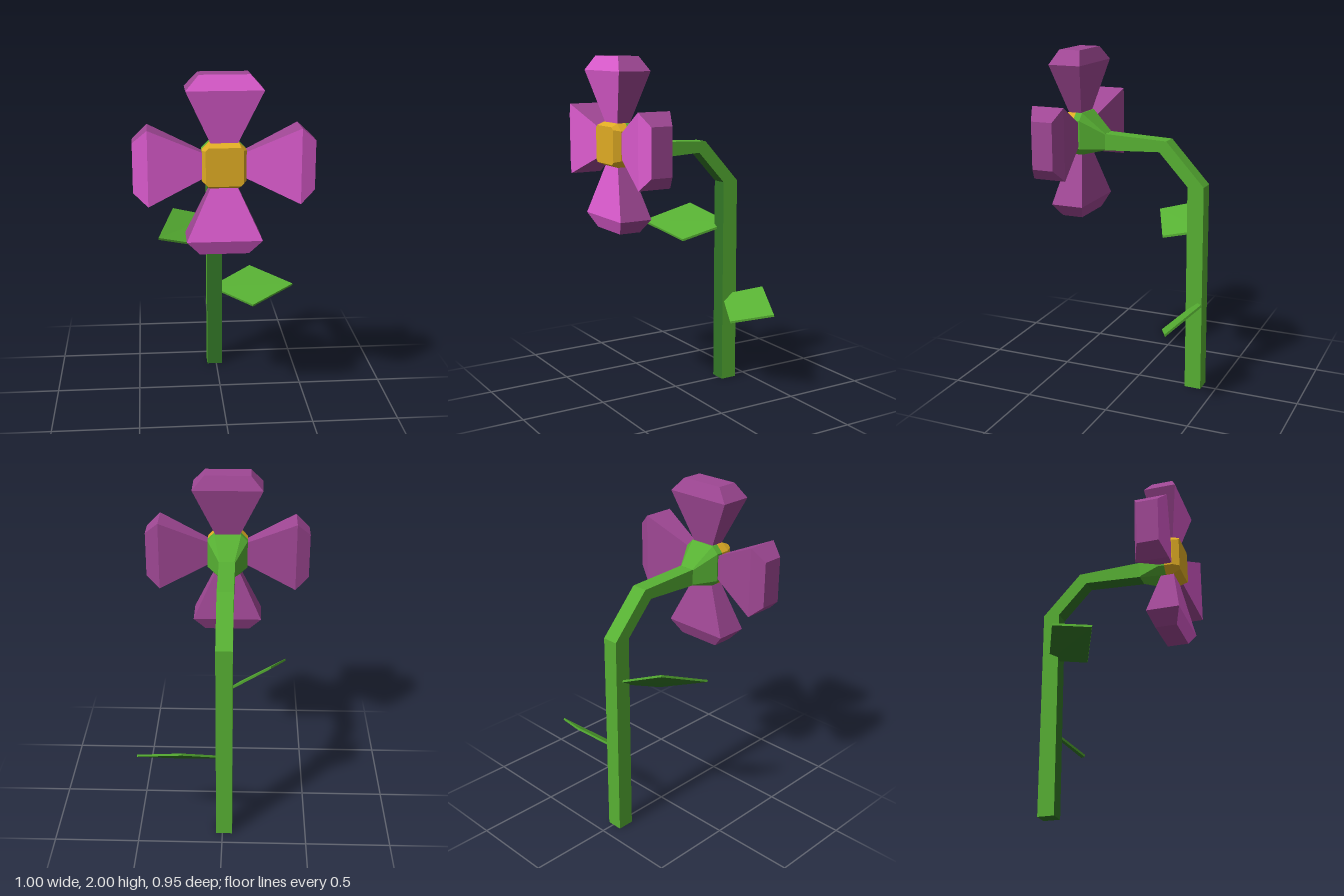
import * as THREE from 'three';

const mat = (name, color) => Object.assign(new THREE.MeshStandardMaterial({ color }), { name });

// Flat-faced loft through rings of [x, y, z] corners, counter-clockwise seen from the far end.
// pick(side) chooses the material index; sides are numbered 0..n-1, then 'start' and 'end' caps.
function loft(name, rings, materials, pick = () => 0) {
  const buckets = materials.map(() => []);
  const n = rings[0].length;
  const quad = (m, a, b, c, d) => buckets[m].push(...a, ...b, ...c, ...a, ...c, ...d);
  for (let r = 0; r + 1 < rings.length; r++) {
    for (let i = 0; i < n; i++) {
      const j = (i + 1) % n;
      quad(pick(i), rings[r][i], rings[r][j], rings[r + 1][j], rings[r + 1][i]);
    }
  }
  const first = rings[0], last = rings[rings.length - 1];
  for (let i = 1; i + 1 < n; i++) {
    buckets[pick('start')].push(...first[0], ...first[i + 1], ...first[i]);
    buckets[pick('end')].push(...last[0], ...last[i], ...last[i + 1]);
  }
  const geo = new THREE.BufferGeometry();
  geo.setAttribute('position', new THREE.Float32BufferAttribute(buckets.flat(), 3));
  let start = 0;
  buckets.forEach((b, m) => {
    geo.addGroup(start, b.length / 3, m);
    start += b.length / 3;
  });
  geo.computeVertexNormals();
  const mesh = new THREE.Mesh(geo, materials.length > 1 ? materials : materials[0]);
  mesh.name = name;
  return mesh;
}

// Rectangle with cut corners, in a plane facing +z
function cutRect(hx, hy, c, cy, z) {
  return [[hx, -hy + c], [hx, hy - c], [hx - c, hy], [-hx + c, hy],
    [-hx, hy - c], [-hx, -hy + c], [-hx + c, -hy], [hx - c, -hy]]
    .map(([x, y]) => [x, y + cy, z]);
}

export function createModel() {
  const green = mat('leaf green', 0x57b033);
  const darkGreen = mat('dark green', 0x327726);
  const pink = mat('petal pink', 0xde5cd0);
  const purple = mat('petal purple', 0x9f4794);
  const yellow = mat('centre yellow', 0xe0ac24);

  const model = new THREE.Group();
  model.name = 'flower';
  const CX = -0.01, CY = 1.51, W = 0.048;

  // Square stem bending forward: [inner z, inner y, outer z, outer y]
  const path = [
    [-0.315, 0, -0.415, 0],
    [-0.315, 1.245, -0.413, 1.25],
    [-0.14, 1.434, -0.183, 1.5],
    [0.205, 1.417, 0.205, 1.515],
  ];
  const stem = loft('stem', path.map(([iz, iy, oz, oy]) =>
    [[W, iy, iz], [W, oy, oz], [-W, oy, oz], [-W, iy, iz]]),
  [green, darkGreen], (s) => (s === 3 || s === 'start' ? 1 : 0));
  stem.position.x = CX;
  model.add(stem);

  // Flower head
  const head = new THREE.Group();
  head.name = 'flowerHead';
  head.position.x = CX;
  model.add(head);

  head.add(loft('calyx', [
    cutRect(W, 0.049, 0.004, 1.466, 0.2),
    cutRect(0.12, 0.123, 0.04, CY, 0.33),
    cutRect(0.12, 0.123, 0.04, CY, 0.37),
  ], [green]));
  head.add(loft('flowerCentre', [
    cutRect(0.12, 0.123, 0.04, CY, 0.37),
    cutRect(0.12, 0.123, 0.04, CY, 0.42),
    cutRect(0.102, 0.105, 0.015, CY, 0.46),
  ], [yellow]));

  // Four petals, pink in front: [radius, half width, half depth]
  const petalRings = [[0.06, 0.045, 0.027], [0.41, 0.207, 0.0975], [0.49, 0.135, 0.0635]]
    .map(([y, x, z]) => [[x, y, z], [x, y, -z], [-x, y, -z], [-x, y, z]]);
  for (let k = 0; k < 4; k++) {
    const petal = loft('petal', petalRings, [purple, pink], (s) => (s === 3 ? 1 : 0));
    petal.position.set(0, CY, 0.377);
    petal.rotation.z = k * Math.PI / 2;
    head.add(petal);
  }

  // Diamond leaves with dark undersides
  const leaves = {
    leftLeaf: [[-0.03, 0.525, -0.357], [0.23, 0.435, -0.24], [0.5, 0.527, -0.36], [0.23, 0.62, -0.475]],
    rightLeaf: [[-0.005, 0.985, -0.39], [-0.27, 1.08, -0.27], [-0.365, 0.98, 0.01], [-0.1, 0.892, -0.11]],
  };
  for (const [name, top] of Object.entries(leaves)) {
    const bottom = top.map(([x, y, z]) => [x, y - 0.013, z - 0.003]);
    model.add(loft(name, [bottom, top], [green, darkGreen], (s) => (s === 'start' ? 1 : 0)));
  }
  return model;
}
